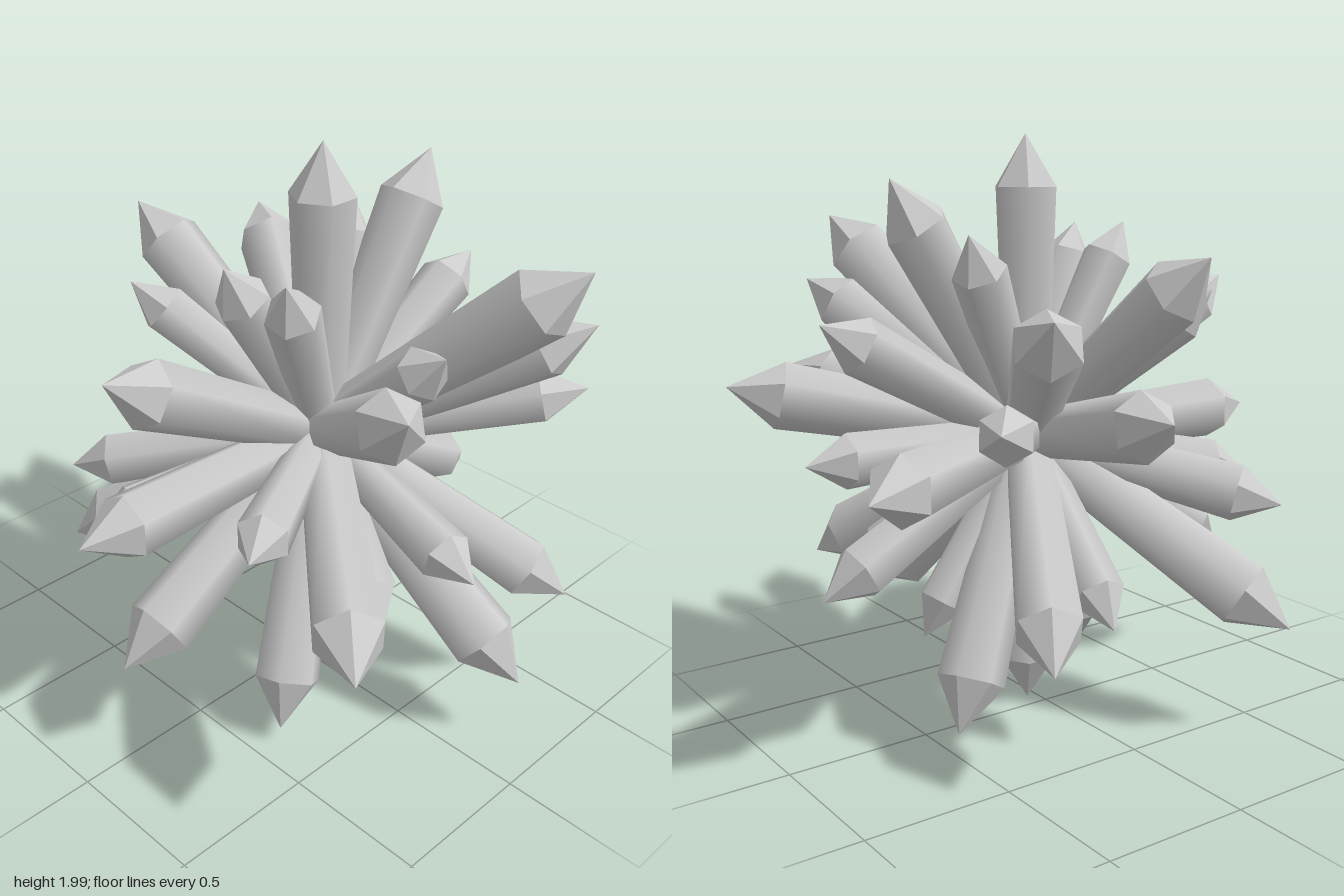
import * as THREE from 'three';

// Point all crystals grow from
const CENTRE = new THREE.Vector3(0.035, 0.98, 0.065);

// Crystal tips, grouped by height around the cluster
const TIPS = {
  pole: [[0.035, 2, 0.065], [0.035, 0.01, 0.065]],
  upperSteep: [
    [0.553, 1.86, 0.065], [-0.385, 1.7, 0.065], [-0.33, 1.69, 0.275], [0.4, 1.69, -0.15],
  ],
  upperMiddle: [
    [0.36, 1.71, 0.87], [-0.06, 1.5, 0.67], [-0.09, 1.635, -0.715], [-0.36, 1.5, -0.43],
  ],
  upperShallow: [
    [0.81, 1.42, 0.065], [0.48, 1.485, 0.83], [-0.41, 1.485, 0.83],
    [-0.855, 1.485, 0.065], [0.485, 1.485, -0.715],
  ],
  aboveEquator: [
    [0.98, 1.195, 0.41], [0.6, 1.19, 0.75], [0.205, 1.195, -0.9], [0.565, 1.15, -0.57],
  ],
  equator: [
    [0.875, 0.98, 0.065], [0.935, 0.98, -0.46], [-0.985, 0.98, 0.065], [-0.68, 0.98, 0.475],
  ],
  belowEquator: [
    [-0.66, 0.76, 0.89], [-0.1, 0.81, 0.86], [-0.73, 0.8, -0.23], [-0.53, 0.785, -0.615],
  ],
  lowerShallow: [
    [0.83, 0.527, 0.065], [-0.86, 0.45, 0.065], [0.48, 0.45, 0.83],
    [-0.25, 0.6, 0.63], [-0.46, 0.4, -0.74], [0.47, 0.44, -0.7],
  ],
  lowerMiddle: [[0.17, 0.27, 0.88], [0.46, 0.44, 0.55], [0.12, 0.46, -0.54]],
  lowerSteep: [[0.485, 0.077, -0.19], [-0.41, 0.077, 0.32], [0.46, 0.33, 0.065]],
};

// Unit crystal along +y: a tapered six-sided shaft with a faceted point
const START = 0.09, SHOULDER = 0.83, RADIUS = 0.11, BASE_RADIUS = 0.082;

const shaftGeometry = new THREE.CylinderGeometry(RADIUS, BASE_RADIUS, SHOULDER - START, 6)
  .rotateY(Math.PI / 2).translate(0, (START + SHOULDER) / 2, 0);
const pointGeometry = new THREE.ConeGeometry(RADIUS, 1 - SHOULDER, 6, 1, true)
  .rotateY(Math.PI / 2).translate(0, (1 + SHOULDER) / 2, 0);

const shaftMaterial = new THREE.MeshStandardMaterial({ color: 0xcccccc });
const pointMaterial = new THREE.MeshStandardMaterial({ color: 0xcccccc, flatShading: true });

function createCrystal(tip, name) {
  const d = new THREE.Vector3(...tip).sub(CENTRE);
  const crystal = new THREE.Group();
  crystal.name = name;
  const shaft = new THREE.Mesh(shaftGeometry, shaftMaterial);
  shaft.name = 'crystalShaft';
  const point = new THREE.Mesh(pointGeometry, pointMaterial);
  point.name = 'crystalPoint';
  crystal.add(shaft, point);

  // Lean away from vertical, then turn about the vertical axis
  const flat = Math.hypot(d.x, d.z);
  const turn = flat > 0.001 ? -Math.atan2(d.z, d.x) : 0;
  crystal.rotation.set(0, turn, -Math.atan2(flat, d.y), 'YZX');
  crystal.scale.setScalar(d.length());
  crystal.position.copy(CENTRE);
  return crystal;
}

export function createModel() {
  const model = new THREE.Group();
  model.name = 'crystalCluster';
  for (const [ring, tips] of Object.entries(TIPS)) {
    const group = new THREE.Group();
    group.name = `${ring}Crystals`;
    tips.forEach((tip, i) => group.add(createCrystal(tip, `${ring}Crystal${i + 1}`)));
    model.add(group);
  }
  return model;
}
